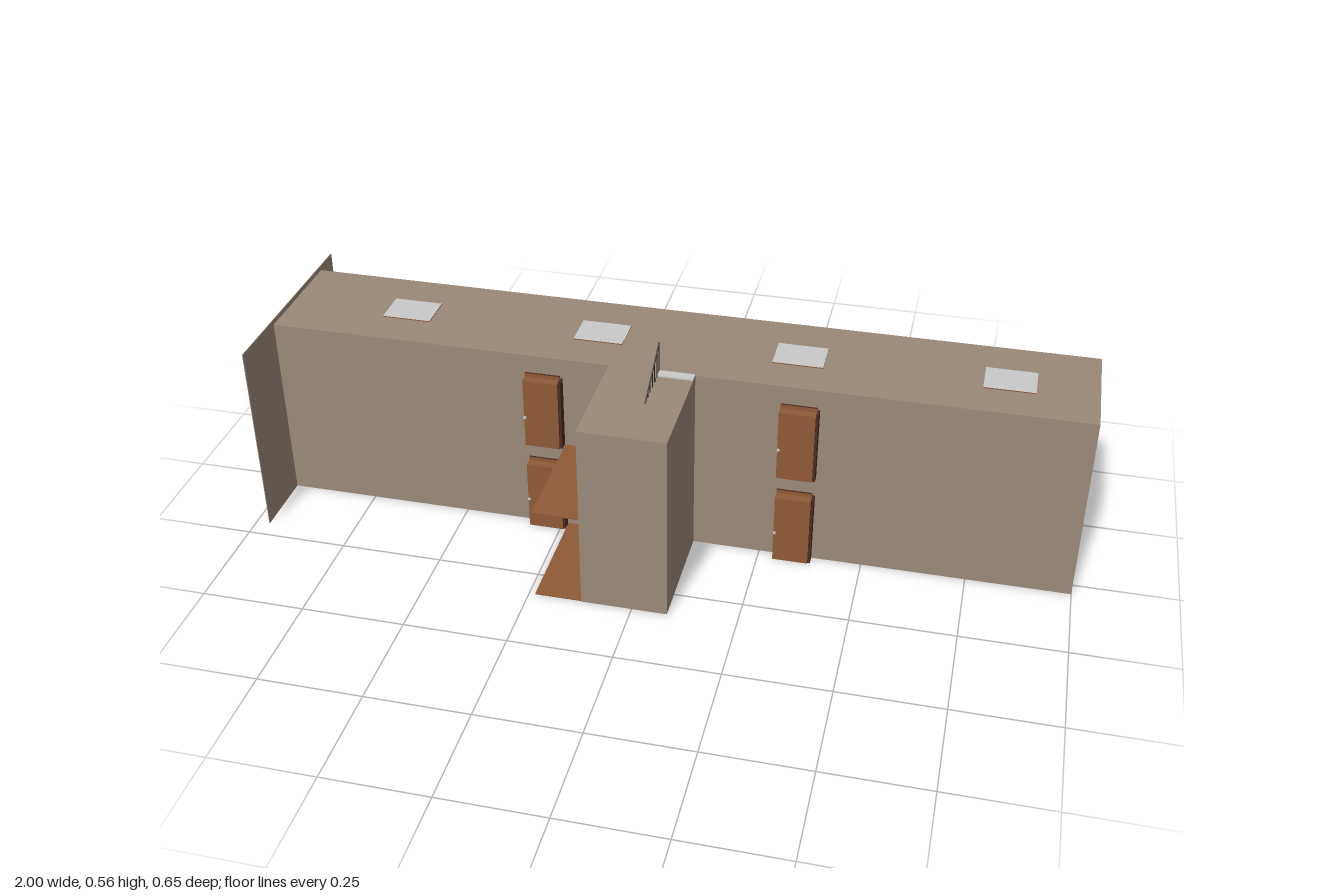
import * as THREE from 'three';

export function createModel() {
  const model = new THREE.Group();
  const mat = (name, color, side = THREE.FrontSide) => {
    const m = new THREE.MeshStandardMaterial({ color, side });
    m.name = name;
    return m;
  };
  const wall = mat('taupe wall', 0x9a8979, THREE.DoubleSide);
  const brown = mat('brown wood', 0x8f5a36, THREE.DoubleSide);
  const dark = mat('dark wood', 0x4c2b22);
  const pale = mat('pale grey panel', 0xc9c9c9);
  const black = mat('black metal', 0x1c1c1c);

  // Box from its lower and upper bounds
  const box = (name, material, x0, x1, y0, y1, z0, z1, parent = model) => {
    const mesh = new THREE.Mesh(new THREE.BoxGeometry(x1 - x0, y1 - y0, z1 - z0), material);
    mesh.position.set((x0 + x1) / 2, (y0 + y1) / 2, (z0 + z1) / 2);
    mesh.name = name;
    parent.add(mesh);
    return mesh;
  };

  const L = -0.965, R = 1, F = 0.036, B = -0.256, H = 0.478, MID = 0.238;
  const T = 0.002;

  // Long block: thin shell, open at the +x end
  box('frontWall', wall, L, R, 0, H, F - T, F);
  box('backWall', wall, L, R, 0, H, B, B + T);
  box('groundFloor', wall, L, R, 0, T, B, F);
  box('upperFloor', wall, L, R, MID - 0.003, MID + 0.001, B, F);
  box('roof', wall, L, R, H - T, H, B, F);
  box('endPanel', wall, L - T, L, 0, 0.49, -0.326, 0.205);

  // Stair tower
  const tx0 = -0.122, tx1 = 0.085, tz = 0.326;
  box('towerFront', wall, tx0, tx1, 0, H, tz - T, tz);
  box('towerLeftWall', wall, tx1 - T, tx1, 0, H, F, tz);
  box('towerRightWall', wall, tx0, tx0 + T, 0, H, F, tz);
  box('towerRoof', wall, tx0, tx1, H - T, H, F, tz);

  // Landing plates that run out past the tower's right side
  [0, MID - 0.002].forEach((y) => box('landing', brown, -0.235, tx1 - T, y - 0.0005, y + T, F, tz - T));

  // Top step and sloped railing on the tower roof
  box('topStep', pale, 0, tx1, H, 0.482, F, 0.06);
  const railing = new THREE.Group();
  railing.name = 'stairRailing';
  model.add(railing);
  const z0 = 0.178, z1 = 0.04, rise = 0.08;
  const rail = box('slopedRail', black, -0.0015, 0.0015, -0.0015, 0.0015, 0, Math.hypot(z0 - z1, rise), railing);
  rail.position.set(0, H + rise / 2, (z0 + z1) / 2);
  rail.rotation.x = Math.atan2(rise, z0 - z1);
  for (let i = 0; i < 6; i++) {
    const z = z1 + i * 0.0223;
    box('baluster', black, -0.001, 0.001, H, H + rise * (z0 - z) / (z0 - z1), z - 0.001, z + 0.001, railing);
  }

  // Light panels set in the roof and in the ceiling below
  for (const x of [-0.66, -0.175, 0.308, 0.797]) {
    for (const y of [MID, H]) {
      box('lightPanel', [brown, brown, pale, pale, brown, brown],
        x - 0.06, x + 0.06, y - 0.004, y + 0.0025, -0.153, -0.062);
    }
  }

  // Doors on both long walls, both storeys
  const addDoor = (x, y, front) => {
    const door = new THREE.Group();
    door.name = front ? 'frontDoor' : 'backDoor';
    const w = 0.043;
    const d = front ? 0.026 : 0.021;
    box('doorFrame', [dark, dark, dark, dark, brown, brown], -w, w, 0, 0.192, -0.008, 0.005, door);
    box('doorLeaf', [dark, front ? dark : brown, front ? brown : dark, dark, brown, brown],
      -w, w, 0, 0.182, 0.005, d, door);
    // raised surround
    box('doorPost', dark, w, w + 0.006, 0, 0.186, 0, d - 0.004, door);
    if (!front) {
      box('doorPost', dark, -w - 0.006, -w, 0, 0.186, 0, d - 0.004, door);
      box('doorHead', dark, -w - 0.006, w + 0.006, 0.182, 0.188, 0, d, door);
    }
    box('doorHandle', pale, -w, -w + 0.006, 0.078, 0.083, d, d + 0.004, door);
    door.position.set(x, y, front ? F : B);
    if (!front) door.rotation.y = Math.PI;
    model.add(door);
  };
  for (const y of [0, MID + 0.002]) {
    for (const front of [true, false]) {
      addDoor(front ? -0.285 : -0.29, y, front);
      addDoor(0.33, y, front);
    }
  }

  // Handrails and skirting boards along the inside of the long walls
  [0, MID].forEach((y, storey) => {
    for (const front of [true, false]) {
      const start = storey ? L : front ? -1 : -0.982;
      const za = front ? F - 0.008 : B + T;
      const zb = front ? F - T : B + 0.008;
      box('handrail', storey ? brown : [brown, dark, brown, brown, brown, brown],
        start, R, y + 0.079, y + 0.09, za, zb);
      box('skirtingBoard', brown, start, R, y + T, y + 0.016, za, zb);
    }
  });

  return model;
}
